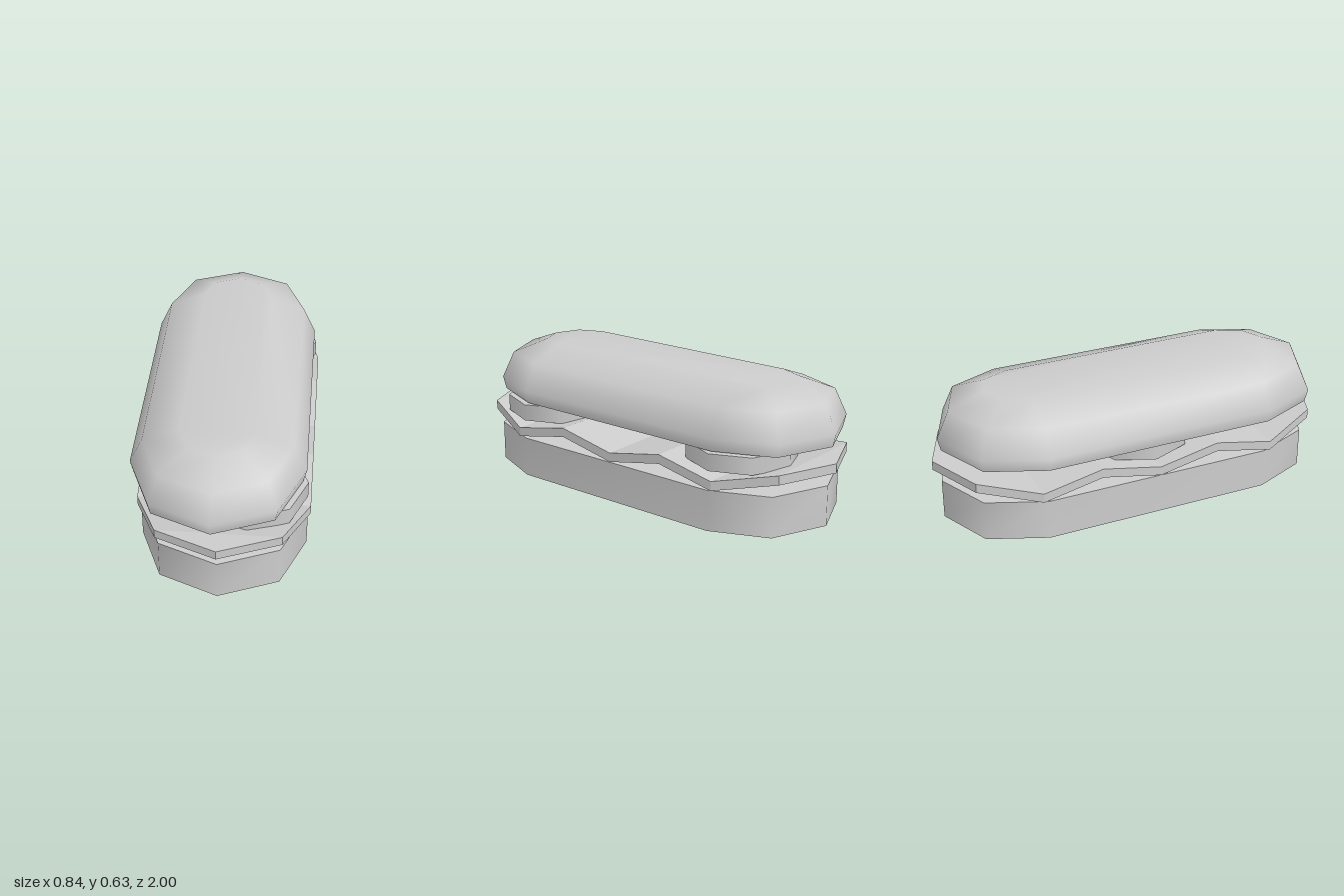
import * as THREE from 'three';

const grey = new THREE.MeshStandardMaterial({ color: 0xcccccc });
grey.name = 'plain grey';

// Stadium outline: two four-sided half circles joined by straight sides.
function stadium(cx, r, straight, y) {
  const points = [];
  for (const end of [0, 1]) {
    for (let i = 0; i <= 4; i++) {
      const a = (end + i / 4) * Math.PI;
      points.push([cx + r * Math.cos(a), y, (end ? -straight : straight) + r * Math.sin(a)]);
    }
  }
  return points;
}

// Skins stacked stadium rings; rings are [radius, y] from bottom to top.
function stadiumLoft(cx, straight, rings, smoothTop) {
  const positions = [], index = [], n = 10;
  const addRing = ([r, y]) => {
    const start = positions.length / 3;
    positions.push(...stadium(cx, r, straight, y).flat());
    return start;
  };
  const starts = rings.map(addRing);
  for (let k = 0; k + 1 < starts.length; k++) {
    for (let i = 0; i < n; i++) {
      const j = (i + 1) % n, b = starts[k], t = starts[k + 1];
      index.push(b + i, t + i, b + j, b + j, t + i, t + j);
    }
  }
  const last = rings.length - 1;
  const top = smoothTop ? starts[last] : addRing(rings[last]);
  const bottom = addRing(rings[0]);
  // Caps made of strips across x
  for (let i = 0; i < 9; i++) {
    const a = i, b = i + 1, c = 0;
    if (i > 0) index.push(top + c, top + b, top + a, bottom + c, bottom + a, bottom + b);
  }
  const geometry = new THREE.BufferGeometry();
  geometry.setAttribute('position', new THREE.Float32BufferAttribute(positions, 3));
  geometry.setIndex(index);
  geometry.computeVertexNormals();
  return geometry;
}

// Zigzag sheet with pointed ends, from rectangular cross-sections along z.
function wavySheet(cx, thickness, stations) {
  const positions = [], index = [];
  for (const [z, w, y] of stations) {
    positions.push(cx - w, y, z, cx + w, y, z, cx + w, y - thickness, z, cx - w, y - thickness, z);
  }
  for (let s = 0; s + 1 < stations.length; s++) {
    for (let i = 0; i < 4; i++) {
      const j = (i + 1) % 4, a = s * 4, b = a + 4;
      index.push(a + i, a + j, b + i, a + j, b + j, b + i);
    }
  }
  const indexed = new THREE.BufferGeometry();
  indexed.setAttribute('position', new THREE.Float32BufferAttribute(positions, 3));
  indexed.setIndex(index);
  const geometry = indexed.toNonIndexed();
  geometry.computeVertexNormals();
  return geometry;
}

export function createModel() {
  const model = new THREE.Group();
  model.name = 'sandwich';
  const add = (name, geometry, x = 0, y = 0, z = 0) => {
    const mesh = new THREE.Mesh(geometry, grey);
    mesh.name = name;
    mesh.position.set(x, y, z);
    model.add(mesh);
  };

  // Bread
  add('bottomBun', stadiumLoft(0.0125, 0.57, [[0.39, 0], [0.39, 0.197]], false));
  add('topBun', stadiumLoft(-0.015, 0.57,
    [[0.39, 0.375], [0.405, 0.438], [0.345, 0.568], [0.172, 0.633]], true));

  // Lettuce: valleys at 0 and 0.6, ridges at 0.3 and the ends
  const half = [[1, 0, 0.312], [0.882, 0.285, 0.31], [0.597, 0.403, 0.25], [0.3, 0.403, 0.31]];
  const mirrored = half.map(([z, w, y]) => [-z, w, y]).reverse();
  add('lettuce', wavySheet(0.0125, 0.045, [...half, [0, 0.403, 0.25], ...mirrored]));

  // Three round slices, the middle one shifted sideways
  const slice = new THREE.CylinderGeometry(0.265, 0.265, 0.082, 8);
  [[0.135, 0.575], [-0.113, -0.018], [0.135, -0.57]].forEach(([x, z], i) =>
    add(`slice${i + 1}`, slice, x, 0.33, z));

  return model;
}
